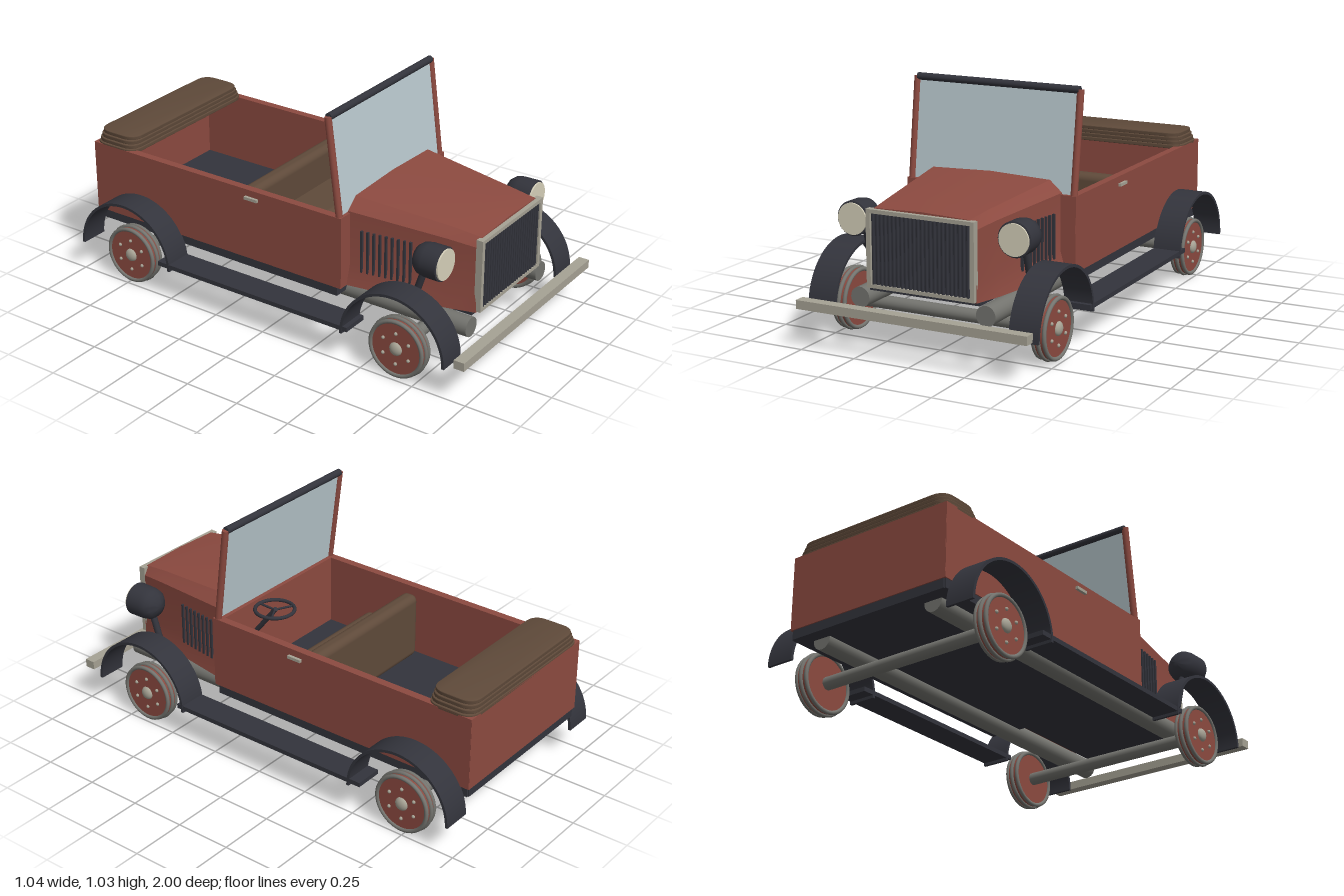
import * as THREE from 'three';
import { toCreasedNormals } from 'three/addons/utils/BufferGeometryUtils.js';
import { RoundedBoxGeometry } from 'three/addons/geometries/RoundedBoxGeometry.js';

const mat = (name, color, extra = {}) => {
  const m = new THREE.MeshStandardMaterial({ color, ...extra });
  m.name = name;
  return m;
};

export function createModel() {
  const paint = mat('red paint', 0x8c4a40);
  const dark = mat('dark trim', 0x33343c);
  const leather = mat('brown leather', 0x5f4a3a);
  const steel = mat('steel', 0x74746f);
  const chrome = mat('pale metal', 0xa6a294);
  const lensMat = mat('lamp lens', 0xd6d0ba);
  const glassMat = mat('glass', 0xb9c8ce, { side: THREE.DoubleSide });

  const car = new THREE.Group();
  car.name = 'openCar';
  const add = (name, geo, m, x = 0, y = 0, z = 0, parent = car) => {
    const mesh = new THREE.Mesh(geo, m);
    mesh.name = name;
    mesh.position.set(x, y, z);
    parent.add(mesh);
    return mesh;
  };
  // box given by its min and max corners
  const box = (name, m, x0, x1, y0, y1, z0, z1) =>
    add(name, new THREE.BoxGeometry(x1 - x0, y1 - y0, z1 - z0), m, (x0 + x1) / 2, (y0 + y1) / 2, (z0 + z1) / 2);
  // cylinder between two points
  const rod = (name, m, a, b, r, seg = 20, parent = car) => {
    const p = new THREE.Vector3(...a), q = new THREE.Vector3(...b);
    const d = q.clone().sub(p);
    const mesh = add(name, new THREE.CylinderGeometry(r, r, d.length(), seg), m, 0, 0, 0, parent);
    mesh.position.copy(p).add(q).multiplyScalar(0.5);
    mesh.quaternion.setFromUnitVectors(new THREE.Vector3(0, 1, 0), d.normalize());
    return mesh;
  };
  const sides = [1, -1];

  // open body tub
  box('floor', dark, -0.385, 0.385, 0.23, 0.275, -0.99, 0.31);
  box('frontWall', paint, -0.395, 0.395, 0.27, 0.593, 0.29, 0.33);
  box('rearWall', paint, -0.395, 0.395, 0.27, 0.593, -0.995, -0.96);
  for (const s of sides) {
    const wall = box('sideWall', paint, 0.362, 0.397, 0.27, 0.593, -0.994, 0.329);
    wall.position.x *= s;
    const sill = box('sill', dark, 0.35, 0.393, 0.23, 0.272, -0.985, 0.31);
    sill.position.x *= s;
    const handle = box('doorHandle', chrome, 0.395, 0.41, 0.55, 0.563, -0.155, -0.088);
    handle.position.x *= s;
  }

  // tapered bonnet lofted through three sections: z, foot width, side width, shoulder y, top width, top y, ridge y
  const sections = [
    [0.32, 0.355, 0.33, 0.6, 0.275, 0.648, 0.658],
    [0.76, 0.28, 0.265, 0.575, 0.225, 0.612, 0.627],
    [0.885, 0.245, 0.24, 0.56, 0.215, 0.598, 0.605],
  ];
  const pos = [], idx = [], n = 9;
  for (const [z, wf, ws, ys, wt, yt, yr] of sections) {
    const half = [[wf, 0.27], [ws, 0.36], [ws, ys], [wt, yt]];
    const loop = [...half, [0, yr], ...half.slice().reverse().map(([x, y]) => [-x, y])];
    loop.forEach(([x, y]) => pos.push(x, y, z));
  }
  for (let k = 0; k < 2; k++) {
    for (let i = 0; i < n; i++) {
      const a = k * n + i, b = k * n + (i + 1) % n;
      idx.push(a, b, a + n, b, b + n, a + n);
    }
  }
  for (let i = 1; i < n - 1; i++) idx.push(2 * n, 2 * n + i, 2 * n + i + 1);
  const bonnet = new THREE.BufferGeometry();
  bonnet.setAttribute('position', new THREE.Float32BufferAttribute(pos, 3));
  bonnet.setIndex(idx);
  add('bonnet', toCreasedNormals(bonnet, 0.5), paint);
  box('bonnetFloor', dark, -0.25, 0.25, 0.255, 0.268, 0.3, 0.87);

  // bonnet louvres
  for (const s of sides) {
    for (let i = 0; i < 9; i++) {
      const z = 0.385 + i * 0.027;
      const x = 0.33 - (z - 0.32) * 0.148;
      add('louvre', new THREE.BoxGeometry(0.02, 0.19, 0.009), dark, s * x, 0.43, z);
    }
  }

  // radiator: frame with opening, core and slats
  const frame = new THREE.Shape();
  frame.moveTo(-0.243, 0.275).lineTo(0.243, 0.275).lineTo(0.243, 0.596).lineTo(-0.243, 0.596).closePath();
  const hole = new THREE.Path();
  hole.moveTo(-0.224, 0.29).lineTo(-0.224, 0.58).lineTo(0.224, 0.58).lineTo(0.224, 0.29).closePath();
  frame.holes.push(hole);
  add('radiatorFrame', new THREE.ExtrudeGeometry(frame, { depth: 0.03, bevelEnabled: false }), chrome, 0, 0, 0.875);
  box('radiatorCore', dark, -0.225, 0.225, 0.288, 0.582, 0.87, 0.893);
  for (let i = 0; i < 24; i++) {
    const x = -0.213 + i * 0.01852;
    rod('radiatorSlat', dark, [x, 0.29, 0.897], [x, 0.58, 0.897], 0.0065, 8);
  }

  // windscreen, leaning back
  const zAt = (y) => 0.312 - (y - 0.593) * 0.13;
  for (const s of sides) {
    rod('windscreenPost', paint, [s * 0.381, 0.575, zAt(0.575)], [s * 0.381, 1.02, zAt(1.02)], 0.015, 12);
  }
  rod('windscreenTopBar', dark, [-0.378, 1.018, zAt(1.018)], [0.378, 1.018, zAt(1.018)], 0.016, 16);
  const pane = add('windscreenGlass', new THREE.BoxGeometry(0.74, 0.435, 0.006), glassMat, 0, 0.8, zAt(0.8));
  pane.rotation.x = -Math.atan(0.13);

  // steering wheel and column
  const wheelRim = add('steeringRim', new THREE.TorusGeometry(0.085, 0.008, 10, 36), dark, 0.19, 0.605, 0.16);
  wheelRim.rotation.x = Math.PI / 2;
  for (let i = 0; i < 3; i++) {
    const a = Math.PI / 2 + i * Math.PI * 2 / 3;
    rod('steeringSpoke', dark, [0.19, 0.602, 0.16],
      [0.19 + 0.085 * Math.cos(a), 0.605, 0.16 + 0.085 * Math.sin(a)], 0.005, 8);
  }
  rod('steeringColumn', dark, [0.19, 0.607, 0.155], [0.19, 0.43, 0.295], 0.011, 12);

  // front bench
  add('seatCushion', new RoundedBoxGeometry(0.69, 0.14, 0.26, 3, 0.03), leather, 0, 0.345, -0.07);
  add('seatBack', new RoundedBoxGeometry(0.695, 0.3, 0.075, 3, 0.03), leather, 0, 0.425, -0.175);

  // folded hood: stacked layers with rounded corners
  const layer = (w, d, r) => {
    const s = new THREE.Shape();
    s.moveTo(-w + r, -d).lineTo(w - r, -d).quadraticCurveTo(w, -d, w, -d + r);
    s.lineTo(w, d - r).quadraticCurveTo(w, d, w - r, d);
    s.lineTo(-w + r, d).quadraticCurveTo(-w, d, -w, d - r);
    s.lineTo(-w, -d + r).quadraticCurveTo(-w, -d, -w + r, -d);
    return s;
  };
  for (let i = 0; i < 4; i++) {
    const geo = new THREE.ExtrudeGeometry(layer(0.393 - i * 0.007, 0.107 - i * 0.003, 0.06),
      { depth: 0.01, bevelThickness: 0.004, bevelSize: 0.004, bevelSegments: 2, curveSegments: 6 });
    geo.rotateX(-Math.PI / 2);
    add('foldedHoodLayer', toCreasedNormals(geo, 0.6), leather, 0, 0.586 + i * 0.0175, -0.884);
  }

  // chassis rails and running boards
  for (const s of sides) {
    rod('chassisRail', steel, [s * 0.285, 0.225, -0.93], [s * 0.285, 0.225, 0.89], 0.043, 24);
    const board = box('runningBoard', dark, 0.395, 0.52, 0.163, 0.183, -0.55, 0.445);
    board.position.x *= s;
  }
  box('frontBumper', chrome, -0.52, 0.52, 0.173, 0.21, 0.952, 1);

  // headlamps
  const shell = [[0, -0.078], [0.02, -0.075], [0.05, -0.06], [0.066, -0.04], [0.072, -0.01], [0.073, 0.06], [0.067, 0.062], [0, 0.062]];
  const lampGeo = toCreasedNormals(
    new THREE.LatheGeometry(shell.map(([x, y]) => new THREE.Vector2(x, y)), 32).rotateX(Math.PI / 2), 0.7);
  for (const s of sides) {
    add('headlampShell', lampGeo, dark, s * 0.366, 0.52, 0.745);
    add('headlampLens', new THREE.CylinderGeometry(0.066, 0.066, 0.008, 32).rotateX(Math.PI / 2), lensMat, s * 0.366, 0.52, 0.81);
    rod('headlampBracket', dark, [s * 0.366, 0.47, 0.715], [s * 0.366, 0.3, 0.66], 0.015, 12);
  }

  // arched wings
  const arch = new THREE.Shape();
  arch.absarc(0, 0, 0.25, 0, Math.PI, false);
  arch.absarc(0, 0, 0.238, Math.PI, 0, true);
  const wingGeo = toCreasedNormals(
    new THREE.ExtrudeGeometry(arch, { depth: 0.128, bevelEnabled: false, curveSegments: 32 })
      .translate(0, 0, -0.064).rotateY(-Math.PI / 2), 0.6);

  // wheel facing +x
  const makeWheel = () => {
    const g = new THREE.Group();
    g.name = 'wheel';
    rod('wheelDisc', paint, [-0.026, 0, 0], [0.026, 0, 0], 0.126, 40, g);
    for (const [x, r] of [[-0.025, 0.122], [0, 0.127], [0.025, 0.122]]) {
      add('tyreBand', new THREE.TorusGeometry(r, 0.009, 10, 40).rotateY(Math.PI / 2), steel, x, 0, 0, g);
    }
    const hub = add('hub', new THREE.SphereGeometry(0.03, 20, 12), chrome, 0.025, 0, 0, g);
    hub.scale.x = 0.6;
    for (let i = 0; i < 6; i++) {
      const a = i * Math.PI / 3 + Math.PI / 6;
      add('bolt', new THREE.SphereGeometry(0.008, 10, 6), chrome, 0.027, 0.07 * Math.sin(a), 0.07 * Math.cos(a), g);
    }
    return g;
  };
  for (const z of [0.66, -0.735]) {
    rod('axle', steel, [-0.45, 0.14, z], [0.45, 0.14, z], 0.028);
    for (const s of sides) {
      add(z > 0 ? 'frontWing' : 'rearWing', wingGeo, dark, s * 0.458, 0.15, z);
      const w = makeWheel();
      w.position.set(s * 0.457, 0.141, z);
      if (s < 0) w.rotation.y = Math.PI;
      car.add(w);
    }
  }
  return car;
}
